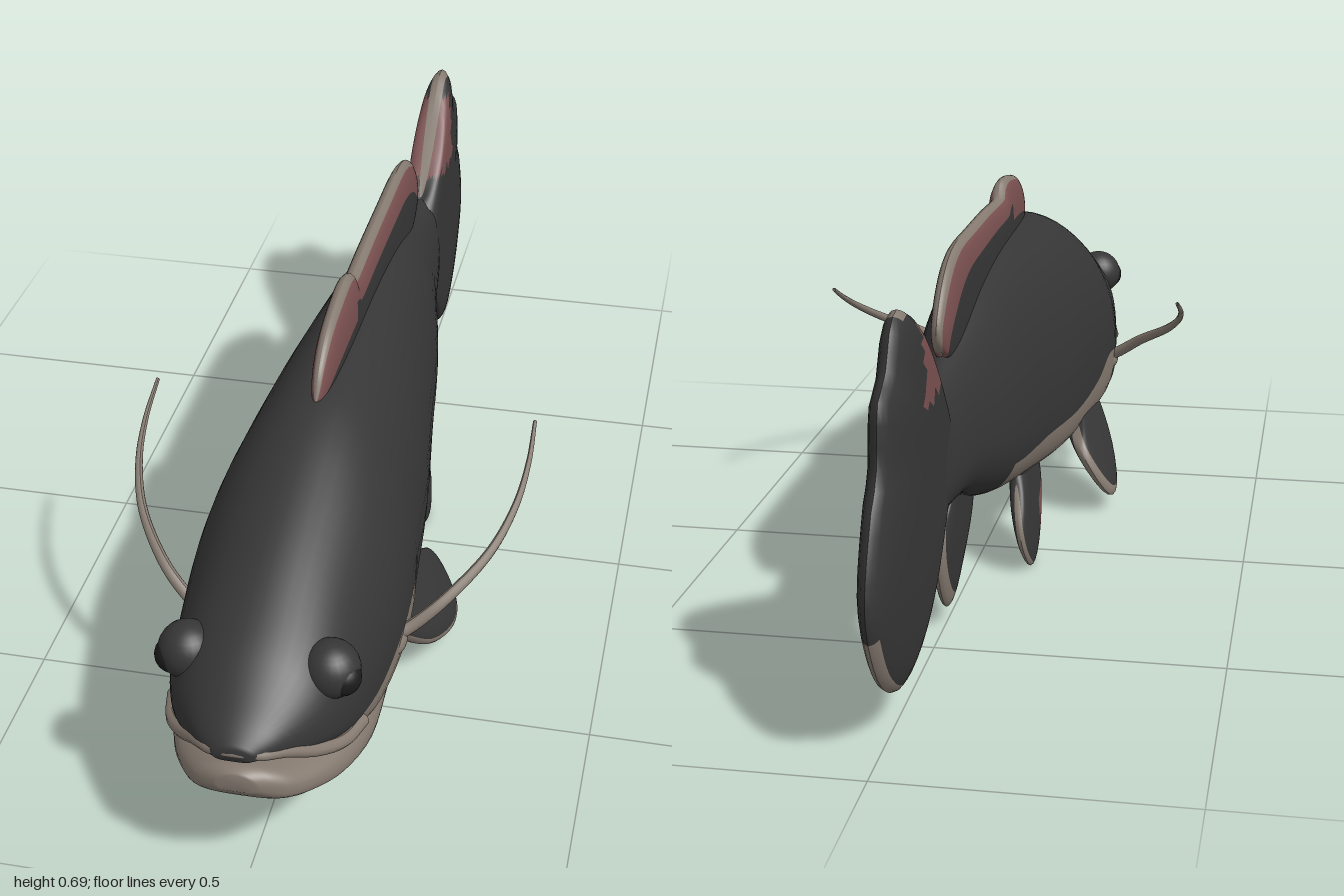
import * as THREE from 'three';

const mat = (name, color) => {
  const m = new THREE.MeshStandardMaterial({ color });
  m.name = name;
  return m;
};

// Smooth interpolation through rows of numbers, four steps per row
function subdivide(rows, steps = 4) {
  const out = [];
  const at = i => rows[Math.max(0, Math.min(rows.length - 1, i))];
  for (let i = 0; i < rows.length - 1; i++) {
    for (let k = 0; k < steps; k++) {
      const t = k / steps, t2 = t * t, t3 = t2 * t;
      out.push(rows[0].map((_, c) => {
        const p0 = at(i - 1)[c], p1 = at(i)[c], p2 = at(i + 1)[c], p3 = at(i + 2)[c];
        return p1 + 0.5 * ((p2 - p0) * t + (2 * p0 - 5 * p1 + 4 * p2 - p3) * t2
          + (3 * p1 - p0 - 3 * p2 + p3) * t3);
      }));
    }
  }
  out.push(at(rows.length - 1));
  return out;
}

// Geometry whose triangles are sorted into one group per material
function grouped(positions, lists) {
  const g = new THREE.BufferGeometry();
  g.setAttribute('position', new THREE.Float32BufferAttribute(positions, 3));
  g.setIndex(lists.flat());
  let start = 0;
  lists.forEach((l, i) => { g.addGroup(start, l.length, i); start += l.length; });
  g.computeVertexNormals();
  return g;
}

// Egg-shaped sections [z, half width, bottom, top, colour seam height], front to back
function loft(rows, lightWhere) {
  const upper = 28, lower = 20, n = upper + lower;
  const st = subdivide(rows), pos = [], lists = [[], []];
  for (const [z, w, lo, hi, seam] of st) {
    const yc = lo + 0.34 * (hi - lo);
    const e = 2 + 1.2 * THREE.MathUtils.smoothstep(z, -0.4, 0.3);
    const d = THREE.MathUtils.clamp((seam - yc) / (seam > yc ? hi - yc : yc - lo), -0.95, 0.95);
    const a = d > 0 ? Math.asin(d) : -Math.asin(Math.pow(-d, e / 2));
    for (let j = 0; j < n; j++) {
      const t = j < upper ? a + (Math.PI - 2 * a) * j / upper
        : Math.PI - a + (Math.PI + 2 * a) * (j - upper) / lower;
      const c = Math.cos(t), s = Math.sin(t), p = s < 0 ? 2 / e : 1;
      pos.push(w * Math.sign(c) * Math.pow(Math.abs(c), p),
        yc + (s < 0 ? -(yc - lo) * Math.pow(-s, p) : (hi - yc) * s), z);
    }
  }
  const last = st.length - 1, tip = pos.length / 3;
  [st[0], st[last]].forEach(r => pos.push(0, (r[2] + r[3]) / 2, r[0]));
  for (let j = 0; j < n; j++) {
    const k = (j + 1) % n;
    for (let i = 0; i < last; i++) {
      const a = i * n + j, b = a + n, c = i * n + k, d = c + n;
      const light = lightWhere((st[i][0] + st[i + 1][0]) / 2, j >= upper);
      lists[light ? 1 : 0].push(a, b, c, b, d, c);
    }
    lists[lightWhere(st[0][0], j >= upper) ? 1 : 0].push(tip, j, k);
    lists[0].push(tip + 1, last * n + k, last * n + j);
  }
  return grouped(pos, lists);
}

// Lens-thick fin between a base line and an outer edge, both as [z, y] points
function fin({ base, edge, thick, x = 0, slope = 0, rootY = 0, paint }, m = 1) {
  const curve = p => new THREE.SplineCurve(p.map(q => new THREE.Vector2(...q)));
  const B = curve(base), E = curve(edge), nu = 64, nv = 14, pos = [], lists = [[], [], []];
  const dB = B.getPoint(1).sub(B.getPoint(0)), dV = E.getPointAt(0.5).sub(B.getPoint(0.5));
  const turn = Math.sign(dB.y * dV.x - dB.x * dV.y);
  const us = i => 0.5 - 0.5 * Math.cos(Math.PI * i / nu);
  const vs = k => 1 - Math.pow(1 - k / nv, 1.7);
  for (const s of [1, -1]) {
    const off = pos.length / 3;
    for (let i = 0; i <= nu; i++) {
      const u = us(i), b = B.getPointAt(u), e = E.getPointAt(u);
      for (let k = 0; k <= nv; k++) {
        const v = vs(k), p = b.clone().lerp(e, v);
        const t = thick * Math.sqrt(Math.max(0, (1 - v ** 4) * (1 - Math.abs(2 * u - 1) ** 5)));
        pos.push(m * (x + slope * (rootY - p.y) + s * t), p.y + s * t * slope, p.x);
        if (i === nu || k === nv) continue;
        const a = off + i * (nv + 1) + k, c = a + nv + 1;
        const tris = turn * s * m > 0 ? [a, c, a + 1, c, c + 1, a + 1] : [a, a + 1, c, c, a + 1, c + 1];
        lists[paint((u + us(i + 1)) / 2, (v + vs(k + 1)) / 2, p.x, p.y, s)].push(...tris);
      }
    }
  }
  return grouped(pos, lists);
}

// Tube along points, tapering from r0 to r1
function taperTube(points, r0, r1) {
  const c = new THREE.CatmullRomCurve3(points.map(p => new THREE.Vector3(...p)));
  const n = 40, rad = 10, g = new THREE.TubeGeometry(c, n, 1, rad);
  const p = g.attributes.position, v = new THREE.Vector3();
  for (let i = 0; i < p.count; i++) {
    const t = Math.floor(i / (rad + 1)) / n, o = c.getPointAt(t);
    v.fromBufferAttribute(p, i).sub(o).multiplyScalar(r0 + (r1 - r0) * t).add(o);
    p.setXYZ(i, v.x, v.y, v.z);
  }
  g.computeVertexNormals();
  return g;
}

export function createModel() {
  const model = new THREE.Group();
  const dark = mat('charcoal skin', 0x363636), pale = mat('pale belly', 0x857a70);
  const red = mat('dull red fin', 0x7a5050), black = mat('eye black', 0x1c1c1c);
  for (const m of [dark, pale, red]) m.side = THREE.DoubleSide;
  const add = (name, geo, material) => {
    const mesh = new THREE.Mesh(geo, material);
    mesh.name = name;
    model.add(mesh);
    return mesh;
  };

  // Body with upper jaw, and pale belly ending before the tail
  add('body', loft([
    [1.0, 0.03, 0.298, 0.322, 0.306], [0.97, 0.066, 0.285, 0.345, 0.297],
    [0.92, 0.105, 0.252, 0.375, 0.268], [0.87, 0.135, 0.225, 0.41, 0.25],
    [0.8, 0.157, 0.185, 0.447, 0.24], [0.7, 0.173, 0.132, 0.492, 0.235],
    [0.58, 0.184, 0.118, 0.537, 0.255], [0.48, 0.182, 0.114, 0.568, 0.265],
    [0.38, 0.172, 0.114, 0.585, 0.235], [0.2, 0.155, 0.122, 0.59, 0.225],
    [0.0, 0.128, 0.143, 0.585, 0.235], [-0.2, 0.102, 0.175, 0.56, 0.24],
    [-0.38, 0.066, 0.235, 0.505, 0.28], [-0.5, 0.05, 0.25, 0.475, 0.3],
    [-0.6, 0.034, 0.25, 0.47, 0.3], [-0.68, 0.012, 0.29, 0.43, 0.32],
  ], (z, under) => under && z > -0.2 && z < 0.84), [dark, pale]);

  // Lower jaw and the pale upper lip
  add('lowerJaw', loft([
    [0.988, 0.03, 0.225, 0.258, 0.24], [0.965, 0.075, 0.197, 0.264, 0.23],
    [0.92, 0.108, 0.174, 0.252, 0.21], [0.85, 0.142, 0.152, 0.24, 0.2],
    [0.75, 0.166, 0.134, 0.25, 0.2], [0.62, 0.165, 0.125, 0.25, 0.2],
  ], () => true), [dark, pale]);
  const lip = [[0.035, 0.306, 0.985], [0.07, 0.293, 0.955], [0.108, 0.262, 0.91], [0.14, 0.238, 0.855], [0.157, 0.228, 0.79]];
  const mirrored = lip.map(([x, y, z]) => [-x, y, z]).reverse();
  add('upperLip', taperTube([...mirrored, [0, 0.31, 0.99], ...lip], 0.011, 0.011), pale);

  // Dorsal fin
  add('dorsalFin', fin({
    base: [[0.42, 0.565], [0.15, 0.565], [-0.18, 0.54], [-0.41, 0.48]],
    edge: [[0.425, 0.58], [0.395, 0.63], [0.33, 0.67], [0.22, 0.69], [0.165, 0.685], [0.145, 0.664],
      [0, 0.667], [-0.15, 0.667], [-0.31, 0.664], [-0.4, 0.63], [-0.46, 0.565], [-0.45, 0.52], [-0.41, 0.5]],
    thick: 0.024,
    paint: (u, v, z) => v > 0.93 ? 1 : v > (z > 0.2 ? 0.35 : 0.62) ? 2 : 0,
  }), [dark, pale, red]);

  // Tail fin with a ragged trailing edge
  add('tailFin', fin({
    base: [[-0.53, 0.465], [-0.53, 0.26]],
    edge: [[-0.55, 0.475], [-0.635, 0.56], [-0.715, 0.64], [-0.765, 0.665], [-0.81, 0.645], [-0.845, 0.585],
      [-0.9, 0.55], [-0.912, 0.45], [-0.955, 0.395], [-1, 0.27], [-0.945, 0.155], [-0.865, 0.085],
      [-0.785, 0.06], [-0.69, 0.095], [-0.59, 0.205], [-0.55, 0.25]],
    thick: 0.038,
    paint: (u, v, z, y) => v > 0.95 && u < 0.22 ? 1 : z > -0.7 && y > 0.5 ? 2
      : v > 0.96 && u > 0.6 && u < 0.78 ? 1 : 0,
  }), [dark, pale, red]);

  // Anal fin
  add('analFin', fin({
    base: [[-0.19, 0.22], [-0.41, 0.265]],
    edge: [[-0.19, 0.2], [-0.225, 0.13], [-0.315, 0.06], [-0.38, 0.03], [-0.435, 0.075],
      [-0.465, 0.145], [-0.45, 0.21], [-0.4, 0.245]],
    thick: 0.021,
    paint: (u, v) => v > 0.9 && u > 0.4 ? 1 : 0,
  }), [dark, pale, red]);

  const pectoral = {
    base: [[0.51, 0.2], [0.3, 0.19]],
    edge: [[0.515, 0.2], [0.475, 0.145], [0.4, 0.075], [0.3, 0.035], [0.235, 0.04],
      [0.205, 0.09], [0.215, 0.145], [0.29, 0.18]],
    thick: 0.02, x: 0.135, slope: 0.58, rootY: 0.18,
    paint: (u, v) => v > 0.92 ? 1 : 0,
  };
  const pelvic = {
    base: [[0.1, 0.165], [-0.09, 0.18]],
    edge: [[0.1, 0.145], [0.05, 0.075], [-0.02, 0.02], [-0.09, 0.003], [-0.135, 0.045],
      [-0.137, 0.1], [-0.1, 0.165]],
    thick: 0.018, x: 0.08, slope: 0.17, rootY: 0.15,
    paint: (u, v, z, y, s) => v > 0.95 ? 1 : s > 0 && u < 0.42 && v > 0.4 ? 2 : 0,
  };

  for (const [side, m] of [['left', 1], ['right', -1]]) {
    // Paired fins
    add(side + 'PectoralFin', fin(pectoral, m), [dark, pale, red]);
    add(side + 'PelvicFin', fin(pelvic, m), [dark, pale, red]);

    // Eye in its bulging socket
    const socket = add(side + 'EyeSocket', new THREE.SphereGeometry(0.048, 24, 16), dark);
    socket.position.set(m * 0.115, 0.362, 0.832);
    const eye = add(side + 'Eye', new THREE.SphereGeometry(0.031, 24, 16), black);
    eye.position.set(m * 0.135, 0.357, 0.842);

    // Long whisker with a swollen root
    const whisker = [[0.165, 0.235, 0.585], [0.19, 0.248, 0.572], [0.24, 0.285, 0.54], [0.305, 0.335, 0.455],
      [0.336, 0.378, 0.37], [0.346, 0.415, 0.29], [0.345, 0.45, 0.21]];
    add(side + 'Whisker', taperTube(whisker.map(([x, y, z]) => [m * x, y, z]), 0.012, 0.0035), pale);
    const root = add(side + 'WhiskerRoot', new THREE.SphereGeometry(0.03, 20, 14), pale);
    root.position.set(m * 0.166, 0.23, 0.585);
    root.scale.set(0.8, 0.8, 1.3);
  }
  return model;
}
